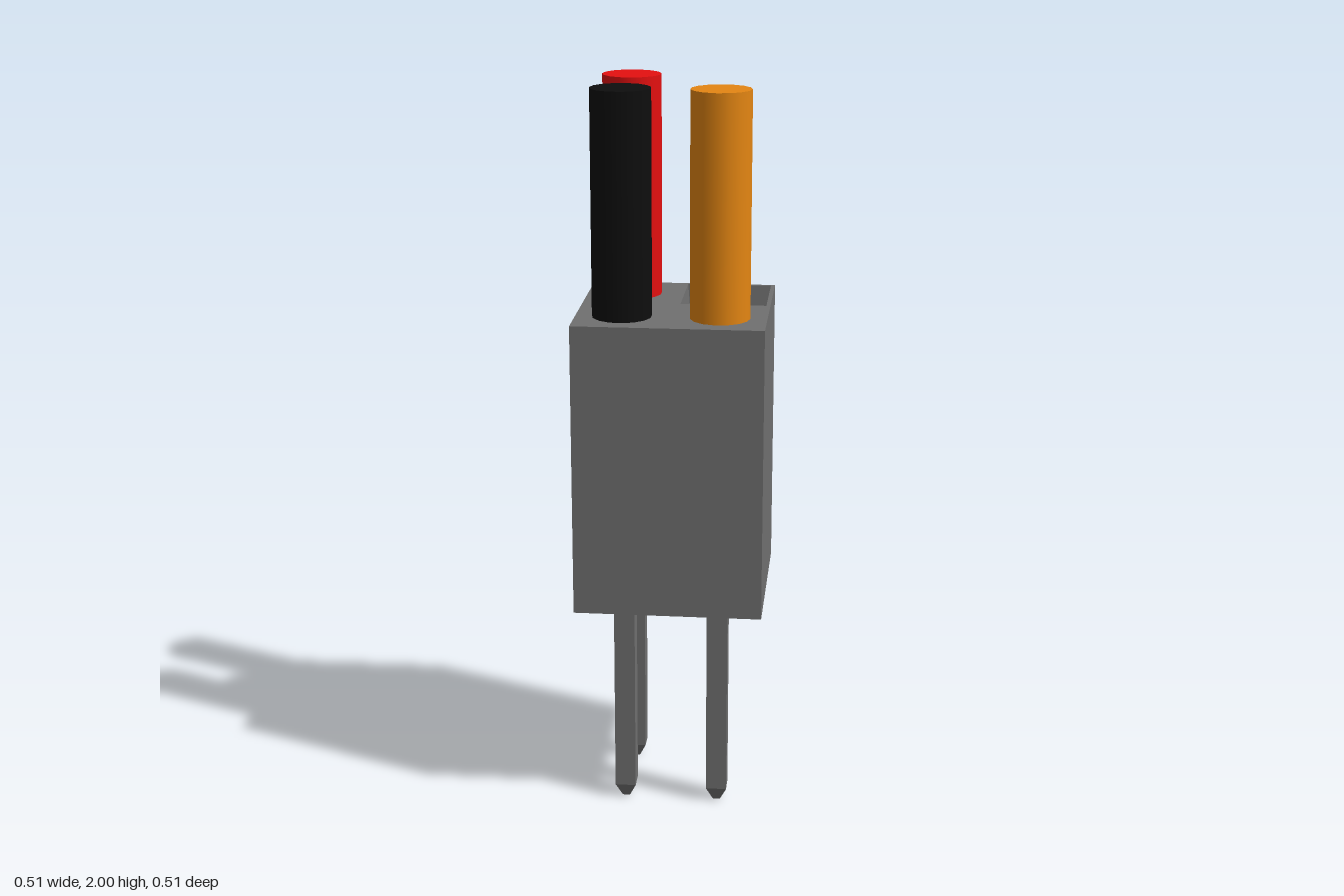
import * as THREE from 'three';

const material = (name, color) => {
  const m = new THREE.MeshStandardMaterial({ color });
  m.name = name;
  return m;
};

function addMesh(parent, name, geometry, mat, x = 0, y = 0, z = 0) {
  const mesh = new THREE.Mesh(geometry, mat);
  mesh.name = name;
  mesh.position.set(x, y, z);
  parent.add(mesh);
  return mesh;
}

const square = (target, cx, cy, h) =>
  target.moveTo(cx - h, cy - h).lineTo(cx + h, cy - h).lineTo(cx + h, cy + h).lineTo(cx - h, cy + h).closePath();

export function createModel() {
  const group = new THREE.Group();
  group.name = 'wireConnector';

  const grey = material('grey', 0x707070);
  const black = material('black', 0x0e0e0e);
  const orange = material('orange', 0xe48613);
  const red = material('red', 0xe41010);

  const half = 0.254, bottom = 0.6, top = 1.4, depth = 0.12;
  const pocket = { c: 0.127, h: 0.116, taper: 0.91 };

  // Housing: solid lower block, also the floor of the empty socket
  const blockHeight = top - depth - bottom;
  addMesh(group, 'housing', new THREE.BoxGeometry(half * 2, blockHeight, half * 2), grey, 0, bottom + blockHeight / 2, 0);

  // Housing rim with the empty square socket, narrowing slightly downwards
  const shape = square(new THREE.Shape(), 0, 0, half);
  shape.holes.push(square(new THREE.Path(), pocket.c, pocket.c + 0.002, pocket.h));
  const rim = new THREE.ExtrudeGeometry(shape, { depth, bevelEnabled: false });
  const p = rim.attributes.position;
  for (let i = 0; i < p.count; i++) {
    const dx = p.getX(i) - pocket.c, dy = p.getY(i) - pocket.c - 0.002;
    const inSocket = Math.max(Math.abs(dx), Math.abs(dy)) < pocket.h + 0.001;
    if (inSocket && p.getZ(i) < 0.001) {
      p.setX(i, pocket.c + dx * pocket.taper);
      p.setY(i, pocket.c + 0.002 + dy * pocket.taper);
    }
  }
  rim.computeVertexNormals();
  rim.rotateX(-Math.PI / 2);
  addMesh(group, 'housingRim', rim, grey, 0, top - depth, 0);

  // Pin shaft and its tapered square tip
  const pinWidth = 0.057, tipHeight = 0.04;
  const shaft = new THREE.BoxGeometry(pinWidth, bottom - tipHeight, pinWidth);
  const tip = new THREE.CylinderGeometry(pinWidth / Math.SQRT2, 0.02 / Math.SQRT2, tipHeight, 4).toNonIndexed();
  tip.rotateY(Math.PI / 4);
  tip.computeVertexNormals();

  // Three wires, each with a pin below
  const wires = [
    ['black', black, -0.131, 0.13],
    ['orange', orange, 0.129, 0.13],
    ['red', red, -0.131, -0.131],
  ];
  for (const [name, mat, x, z] of wires) {
    const wire = new THREE.CylinderGeometry(0.08, 0.08, 2 - top, 15, 1, false, Math.sign(x) * Math.PI / 2);
    addMesh(group, name + 'Wire', wire, mat, x, (2 + top) / 2, z);

    const pin = new THREE.Group();
    pin.name = name + 'WirePin';
    pin.position.set(Math.sign(x) * 0.128, 0, Math.sign(z) * 0.128);
    addMesh(pin, 'pinShaft', shaft, grey, 0, (bottom + tipHeight) / 2, 0);
    addMesh(pin, 'pinTip', tip, grey, 0, tipHeight / 2, 0);
    group.add(pin);
  }
  return group;
}
